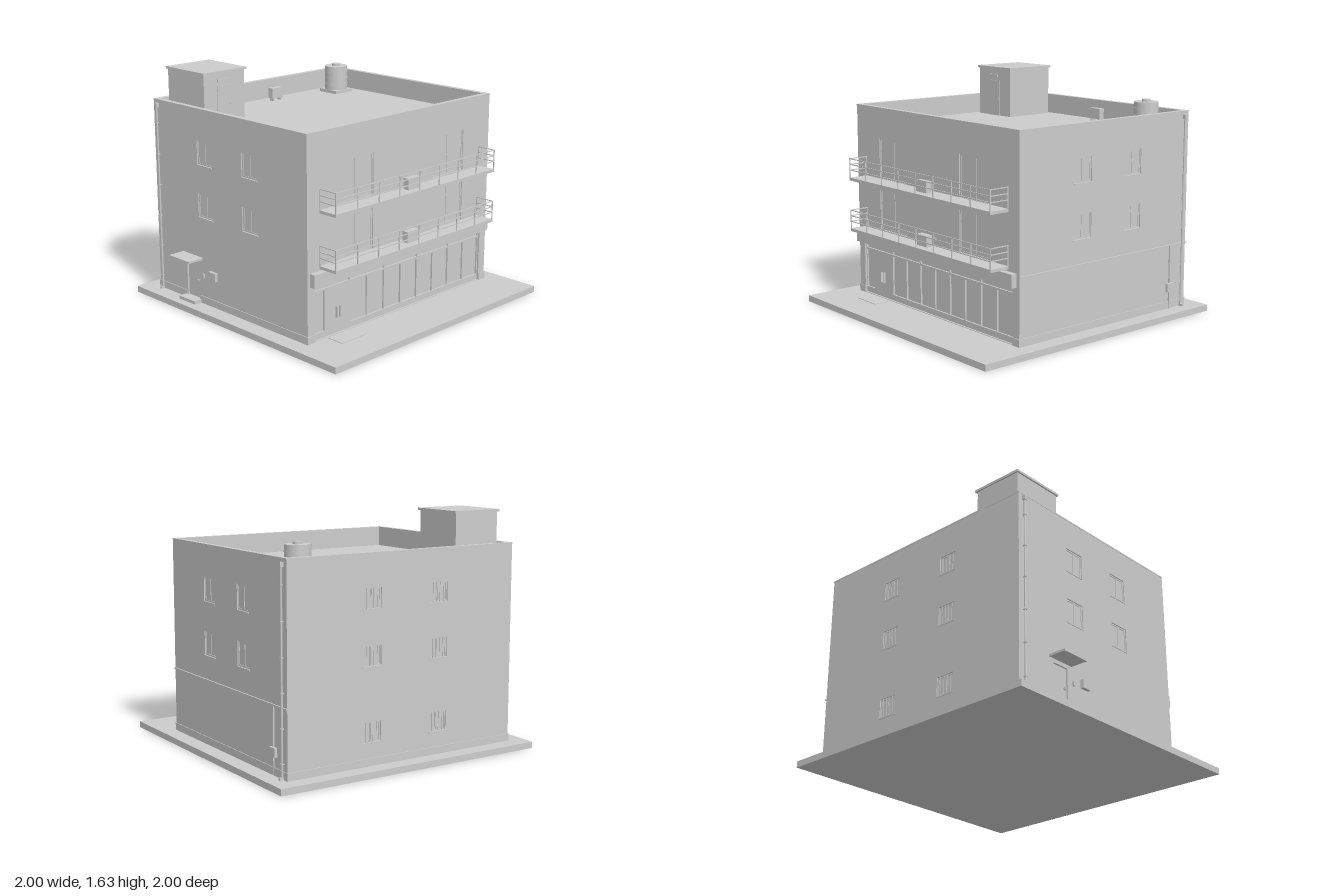
import * as THREE from 'three';

const grey = new THREE.MeshStandardMaterial({ color: 0xcccccc });
grey.name = 'concrete grey';

const T = 0.035;                       // wall thickness
const W = 0.88, FRONT = 0.628, BACK = 0.884;
const GROUND = 0.044, ROOF = 1.265, TOP = 1.405;

function add(parent, name, geometry) {
  const mesh = new THREE.Mesh(geometry, grey);
  mesh.name = name;
  parent.add(mesh);
  return mesh;
}

// Box given by its limits on each axis
function box(parent, name, x0, x1, y0, y1, z0, z1) {
  const mesh = add(parent, name, new THREE.BoxGeometry(x1 - x0, y1 - y0, z1 - z0));
  mesh.position.set((x0 + x1) / 2, (y0 + y1) / 2, (z0 + z1) / 2);
  return mesh;
}

function cylinder(parent, name, r, x, y0, y1, z, sides = 24) {
  const mesh = add(parent, name, new THREE.CylinderGeometry(r, r, y1 - y0, sides));
  mesh.position.set(x, (y0 + y1) / 2, z);
  return mesh;
}

function group(parent, name) {
  const g = new THREE.Group();
  g.name = name;
  parent.add(g);
  return g;
}

// Upright plate with rectangular openings, from z0 to z1
function plate(parent, name, [a, b, c, d], openings, z0, z1) {
  const shape = new THREE.Shape();
  shape.moveTo(a, c).lineTo(b, c).lineTo(b, d).lineTo(a, d);
  for (const [e, f, g, h] of openings) {
    const hole = new THREE.Path();
    hole.moveTo(e, g).lineTo(e, h).lineTo(f, h).lineTo(f, g);
    shape.holes.push(hole);
  }
  const mesh = add(parent, name, new THREE.ExtrudeGeometry(shape, { depth: z1 - z0, bevelEnabled: false }));
  mesh.position.z = z0;
}

// One side of the building: local x runs along the wall, local z points outwards
function side(parent, name, angle, u0, u1, out, openings) {
  const g = group(parent, name);
  g.rotation.y = angle;
  plate(g, 'wall', [u0, u1, GROUND, TOP - 0.01], openings, out - T, out);
  return g;
}

// Sliding window or balcony door set just behind the wall face
function glazing(g, [a, b, c, d], out, { sill = false, bars = 0 } = {}) {
  const f = 0.01, mid = (a + b) / 2;
  const win = group(g, 'window');
  box(win, 'glass', a, b, c, d, out - T, out - 0.011);
  plate(win, 'frame', [a, b, c, d],
    [[a + f, mid - f / 2, c + f, d - f], [mid + f / 2, b - f, c + f, d - f]], out - 0.011, out - 0.007);
  if (sill) box(win, 'sill', a - 0.002, b + 0.002, c - 0.008, c, out - 0.01, out + 0.004);
  for (let i = 1; i <= bars; i++) {
    const u = a + (b - a) * i / (bars + 1);
    box(win, 'grilleBar', u - 0.002, u + 0.002, c, d, out - 0.006, out - 0.002);
  }
}

// Rainwater pipe with hopper, brackets and shoe
function downpipe(parent, s) {
  const g = group(parent, 'downpipe');
  const x = s * (W + 0.012), z = -0.84;
  cylinder(g, 'pipe', 0.007, x, 0.06, 1.36, z, 12);
  box(g, 'hopper', x - 0.011, x + 0.011, 1.35, 1.38, z - 0.012, z + 0.012);
  for (let i = 0; i < 6; i++) {
    const y = 0.14 + i * 0.22;
    box(g, 'bracket', x - 0.01, x + 0.01, y, y + 0.006, z - 0.009, z + 0.009);
  }
  const a = s > 0 ? x - 0.007 : x - 0.022;
  box(g, 'shoe', a, a + 0.029, GROUND, 0.06, z - 0.008, z + 0.008);
}

// Balcony with its floor at y and its top rail at top
function balcony(parent, y, top) {
  const g = group(parent, 'balcony');
  const X = 0.775, Z = 0.772, r = 0.003;
  box(g, 'balconySlab', -X, X, y, y + 0.02, FRONT, Z);
  for (const v of [top - 0.083, top - 0.043, top - r]) {
    box(g, 'frontRail', -X, X, v - r, v + r, Z - 2 * r, Z);
    for (const s of [-1, 1])
      box(g, 'sideRail', s * (X - r) - r, s * (X - r) + r, v - r, v + r, FRONT, Z);
  }
  for (let i = 0; i <= 8; i++) {
    const x = (X - r) * (i / 4 - 1);
    box(g, 'post', x - r, x + r, y + 0.02, top, Z - 2 * r, Z);
  }
  for (const s of [-1, 1])
    box(g, 'wallPost', s * (X - r) - r, s * (X - r) + r, y + 0.02, top, FRONT, FRONT + 2 * r);
  // Air conditioner and its pipe to the wall
  box(g, 'airConditioner', -0.057, 0.053, y + 0.022, y + 0.098, 0.675, 0.72);
  box(g, 'coolantPipe', 0.032, 0.038, top - 0.086, top - 0.08, FRONT, 0.675);
}

export function createModel() {
  const model = new THREE.Group();
  model.name = 'building';

  box(model, 'groundSlab', -0.997, 1, 0, GROUND, -0.998, 0.998);

  // The house stands slightly off the middle of its slab
  const house = group(model, 'house');
  house.position.set(0.003, 0, 0.003);
  box(house, 'roof', -W + T, W - T, ROOF - 0.02, ROOF, -BACK + T, FRONT - T);

  // Front: shop opening and balcony doors
  const shop = [-0.818, 0.817, 0.048, 0.41];
  const doors = [];
  for (const y of [0.545, 0.908]) for (const u of [-0.609, 0.287]) doors.push([u, u + 0.316, y, y + 0.282]);
  const front = side(house, 'frontSide', 0, -W, W, FRONT, [shop, ...doors]);
  doors.forEach(o => glazing(front, o, FRONT));

  // Side windows, mirrored
  const doorway = [-0.573, -0.443, 0.066, 0.33];
  for (const s of [1, -1]) {
    const wins = [];
    for (const z of [0.097, -0.353]) for (const y of [0.657, 1.022])
      wins.push([-s * z - 0.077, -s * z + 0.077, y, y + 0.165]);
    const ends = s > 0 ? [-FRONT + T, BACK - T] : [-BACK + T, FRONT - T];
    const g = side(house, s > 0 ? 'leftSide' : 'rightSide', s * Math.PI / 2, ...ends, W,
      s > 0 ? wins : [...wins, doorway]);
    wins.forEach(o => glazing(g, o, W, { sill: true }));
    downpipe(house, s);
  }

  // Back: small windows with grilles
  const small = [];
  for (const x of [-0.265, 0.257]) for (const y of [0.2, 0.69, 1.055])
    small.push([-x - 0.07, -x + 0.07, y, y + 0.13]);
  const back = side(house, 'backSide', Math.PI, -W, W, BACK, small);
  small.forEach(o => glazing(back, o, BACK, { sill: true, bars: 4 }));

  // Parapet coping
  const e = 0.002;
  box(house, 'coping', -W - e, W + e, TOP - 0.01, TOP, FRONT - T, FRONT + e);
  box(house, 'coping', -W - e, W + e, TOP - 0.01, TOP, -BACK - e, -BACK + T);
  for (const s of [-1, 1]) {
    const x = s * (W + (e - T) / 2), half = (T + e) / 2;
    box(house, 'coping', x - half, x + half, TOP - 0.01, TOP, -BACK + T, FRONT - T);
  }

  // Plinth, broken at the shop and the side door
  const p = 0.005, h = 0.095;
  box(house, 'plinth', W, W + p, GROUND, h, -BACK - p, FRONT + p);
  box(house, 'plinth', -W - p, -W, GROUND, h, -BACK - p, -0.583);
  box(house, 'plinth', -W - p, -W, GROUND, h, -0.433, FRONT + p);
  box(house, 'plinth', -W, W, GROUND, h, -BACK - p, -BACK);
  box(house, 'plinth', -W, shop[0], GROUND, h, FRONT, FRONT + p);
  box(house, 'plinth', shop[1], W, GROUND, h, FRONT, FRONT + p);

  // Shopfront: one frame with panes and transom lights, and a flush double door
  const sf = group(house, 'shopfront');
  const zg = FRONT - 0.025, zf = FRONT - 0.013;
  const panes = [[-0.811, -0.721, 0.088, 0.364]];
  for (let i = 0; i < 8; i++) panes.push([-0.49 + i * 0.163, -0.333 + i * 0.163, 0.088, 0.364]);
  for (let i = -1; i < 4; i++)
    panes.push([Math.max(-0.811, -0.486 + i * 0.326), Math.min(0.811, -0.169 + i * 0.326), 0.377, 0.404]);
  box(sf, 'glass', ...shop, zg - 0.01, zg);
  plate(sf, 'frame', shop, panes, zg, zf);
  for (const x of [-0.619, -0.589]) box(sf, 'doorHandle', x - 0.002, x + 0.002, 0.155, 0.23, zf, zf + 0.016);
  box(house, 'signBoard', -0.858, 0.853, 0.422, 0.511, FRONT, 0.669);
  box(house, 'doormat', -0.713, -0.498, GROUND, 0.048, 0.642, 0.767);

  balcony(house, 0.523, 0.677);
  balcony(house, 0.886, 1.044);

  // Side entrance
  const en = group(house, 'sideEntrance');
  box(en, 'canopy', -1.003, -W, 0.356, 0.371, -0.613, -0.403);
  box(en, 'step', -0.943, -W, GROUND, 0.066, -0.593, -0.423);
  box(en, 'door', -W + 0.012, -W + T, 0.066, 0.33, -0.573, -0.443);
  box(en, 'doorHandle', -W, -W + 0.012, 0.185, 0.2, -0.469, -0.457);
  box(en, 'intercom', -0.893, -W, 0.23, 0.26, -0.398, -0.385);
  box(en, 'mailbox', -0.903, -W, 0.24, 0.298, -0.318, -0.248);

  // Conduit and meter box
  const co = group(house, 'electricConduit');
  box(co, 'horizontalConduit', W, W + 0.01, 0.487, 0.495, -BACK - 0.005, FRONT);
  box(co, 'verticalConduit', W, W + 0.01, GROUND, 0.49, -0.731, -0.724);
  box(co, 'meterBox', W, W + 0.02, 0.165, 0.225, -0.763, -0.698);

  // Roof stairhouse
  const st = group(house, 'stairhouse');
  box(st, 'stairhouseWalls', -0.805, -0.456, ROOF, 1.61, -0.811, -0.431);
  box(st, 'stairhouseCap', -0.816, -0.441, 1.61, 1.626, -0.821, -0.42);
  box(st, 'stairhouseDoor', -0.692, -0.567, ROOF, 1.525, -0.431, -0.426);
  box(st, 'doorHandle', -0.589, -0.579, 1.385, 1.4, -0.426, -0.419);
  box(st, 'doorHood', -0.692, -0.592, 1.55, 1.57, -0.431, -0.422);

  // Water tank
  const tank = group(house, 'waterTank');
  const tx = 0.677, tz = -0.682;
  box(tank, 'tankPad', tx - 0.086, tx + 0.086, ROOF, 1.288, tz - 0.086, tz + 0.086);
  cylinder(tank, 'tankBody', 0.084, tx, 1.288, 1.463, tz, 32);
  for (const y of [1.325, 1.37, 1.415]) cylinder(tank, 'tankBand', 0.086, tx, y, y + 0.008, tz, 32);
  cylinder(tank, 'tankLid', 0.03, tx, 1.463, 1.479, tz);

  // Rooftop air conditioner
  const ac = group(house, 'roofAirConditioner');
  box(ac, 'unit', 0.074, 0.175, 1.285, 1.36, -0.777, -0.734);
  for (const x of [0.084, 0.155]) box(ac, 'foot', x, x + 0.01, ROOF, 1.285, -0.775, -0.736);

  return model;
}
